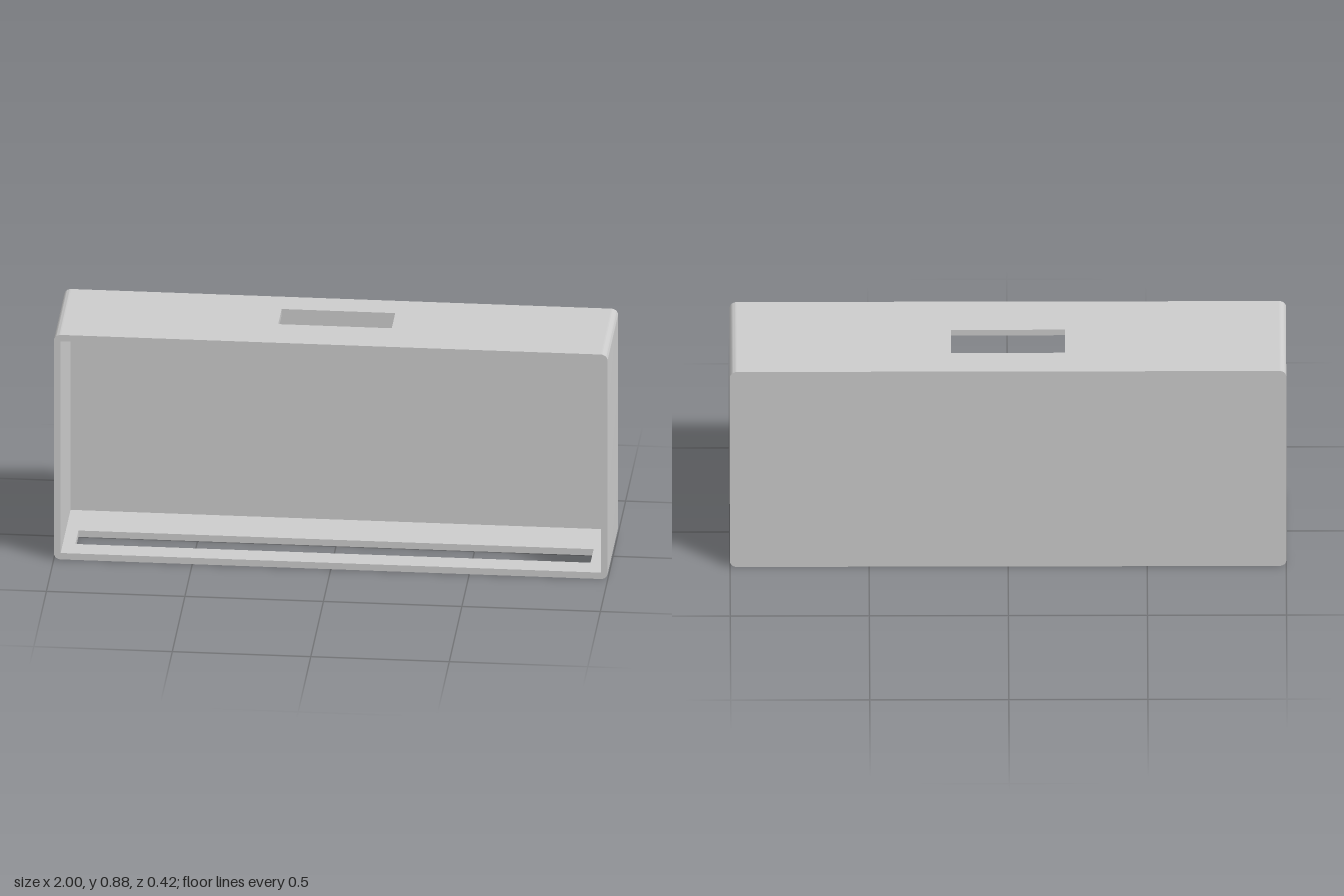
import * as THREE from 'three';
import { toCreasedNormals } from 'three/addons/utils/BufferGeometryUtils.js';

const W = 2, H = 0.88, D = 0.416, T = 0.025; // outer size and wall thickness
const material = new THREE.MeshStandardMaterial({ color: 0xcccccc });

function addMesh(group, name, geometry) {
  const mesh = new THREE.Mesh(geometry, material);
  mesh.name = name;
  group.add(mesh);
  return mesh;
}

function rectangle(path, x0, x1, y0, y1) {
  path.moveTo(x0, y0);
  path.lineTo(x1, y0);
  path.lineTo(x1, y1);
  path.lineTo(x0, y1);
  path.closePath();
  return path;
}

// Horizontal plate of thickness T, with a slot given by x half-width and z range
function slottedPlate(halfSlot, z0, z1) {
  const shape = rectangle(new THREE.Shape(), -W / 2 + T, W / 2 - T, -D / 2, D / 2);
  shape.holes.push(rectangle(new THREE.Path(), -halfSlot, halfSlot, -z1, -z0));
  const geometry = new THREE.ExtrudeGeometry(shape, { depth: T, bevelEnabled: false });
  return geometry.rotateX(-Math.PI / 2); // shape y becomes -z, depth becomes +y
}

// Side wall with rounded outer corners, extruded front to back
function sideWall() {
  const outer = W / 2, inner = W / 2 - T;
  const shape = new THREE.Shape();
  shape.moveTo(inner, 0);
  shape.absarc(inner, T, T, -Math.PI / 2, 0, false);
  shape.lineTo(outer, H - T);
  shape.absarc(inner, H - T, T, 0, Math.PI / 2, false);
  shape.closePath();
  const geometry = new THREE.ExtrudeGeometry(shape, { depth: D, bevelEnabled: false, curveSegments: 10 });
  return toCreasedNormals(geometry.translate(0, 0, -D / 2), Math.PI / 6);
}

export function createModel() {
  const group = new THREE.Group();
  group.name = 'openCase';

  // Side walls
  addMesh(group, 'leftWall', sideWall());
  addMesh(group, 'rightWall', sideWall().rotateY(Math.PI));

  // Top with a short slot, floor with a long one
  addMesh(group, 'topWall', slottedPlate(0.205, -0.097, 0.04)).position.y = H - T;
  addMesh(group, 'floor', slottedPlate(0.93, 0, 0.122));

  // Closed back; the front stays open
  const back = addMesh(group, 'backPanel', new THREE.BoxGeometry(W - 2 * T, H - 2 * T, T));
  back.position.set(0, H / 2, -D / 2 + T / 2);

  return group;
}
